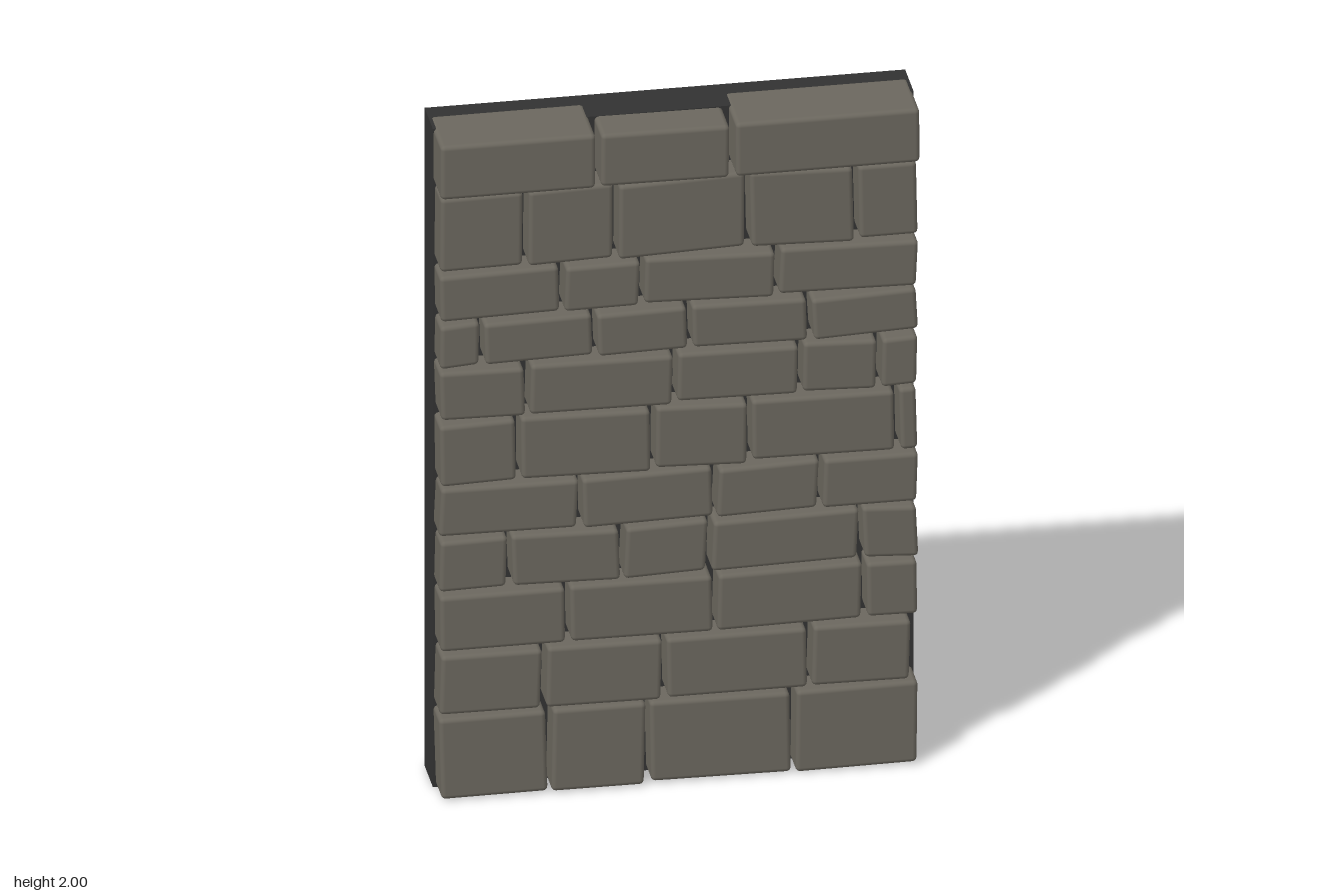
import * as THREE from 'three';
import { RoundedBoxGeometry } from 'three/addons/geometries/RoundedBoxGeometry.js';

const HALF = 0.655;

// Each course: bottom, top, and the x positions of its vertical joints
const COURSES = [
  { y: [0.005, 0.25], joints: [-0.355, -0.085, 0.315] },
  { y: [0.26, 0.44], joints: [-0.37, -0.04, 0.36], right: 0.635 },
  { y: [0.455, 0.62], joints: [-0.305, 0.1, 0.51] },
  { y: [0.635, 0.787], joints: [-0.465, -0.155, 0.085, 0.5] },
  { y: [0.8, 0.945], joints: [-0.27, 0.1, 0.39] },
  { y: [0.957, 1.14], joints: [-0.44, -0.07, 0.195, 0.6] },
  { y: [1.153, 1.3], joints: [-0.415, -0.01, 0.335, 0.55] },
  { y: [1.315, 1.442], joints: [-0.54, -0.23, 0.03, 0.36] },
  { y: [1.457, 1.592], joints: [-0.32, -0.1, 0.27] },
  { y: [1.607, 1.83], joints: [-0.42, -0.172, 0.19, 0.487] },
];

// Small seeded generator, returns values in -1..1
function seeded(seed) {
  return () => {
    seed = (seed * 16807) % 2147483647;
    return (seed / 2147483647) * 2 - 1;
  };
}

// Rounded block with its faces skewed slightly, like hand-cut masonry
function stoneGeometry(w, h, d, rand, skew) {
  const geo = new RoundedBoxGeometry(w, h, d, 2, 0.013);
  const p = geo.attributes.position;
  const k = [rand(), rand(), rand(), rand()].map((v) => v * skew);
  for (let i = 0; i < p.count; i++) {
    const u = p.getX(i) / w, v = p.getY(i) / h, t = p.getZ(i) / d + 0.5;
    p.setXYZ(
      i,
      p.getX(i) + k[0] * v,
      p.getY(i) + k[1] * u,
      p.getZ(i) + t * (k[2] * u + k[3] * v - Math.abs(k[2] + k[3]) / 2)
    );
  }
  return geo;
}

export function createModel() {
  const stoneMat = new THREE.MeshStandardMaterial({ color: 0x6b675e });
  stoneMat.name = 'stone';
  const mortarMat = new THREE.MeshStandardMaterial({ color: 0x323232 });
  mortarMat.name = 'dark mortar';
  const rand = seeded(4711);

  const wall = new THREE.Group();
  wall.name = 'stoneWall';

  function addStone(parent, name, x0, x1, y0, y1, z0, z1, skew) {
    const mesh = new THREE.Mesh(stoneGeometry(x1 - x0, y1 - y0, z1 - z0, rand, skew), stoneMat);
    mesh.position.set((x0 + x1) / 2, (y0 + y1) / 2, (z0 + z1) / 2);
    mesh.name = name;
    parent.add(mesh);
    return mesh;
  }

  // Backing slab
  const slab = new THREE.Mesh(new THREE.BoxGeometry(1.32, 1.998, 0.13), mortarMat);
  slab.position.set(0, 0.999, -0.06);
  slab.name = 'backingSlab';
  wall.add(slab);

  // Courses of stones
  COURSES.forEach(({ y, joints, right = HALF }, row) => {
    const course = new THREE.Group();
    course.name = `course${row + 1}`;
    const edges = [-HALF - 0.008, ...joints, right + 0.008];
    for (let i = 0; i < edges.length - 1; i++) {
      addStone(course, 'stone', edges[i] + 0.008, edges[i + 1] - 0.008,
        y[0], y[1], -0.04, 0.1, 0.008);
    }
    wall.add(course);
  });

  // Thicker coping stones, the outer two reaching back over the slab
  const coping = new THREE.Group();
  coping.name = 'copingCourse';
  addStone(coping, 'copingStoneRight', -0.658, -0.233, 1.838, 2, -0.073, 0.122, 0.002);
  addStone(coping, 'copingStoneMiddle', -0.217, 0.135, 1.838, 1.996, -0.073, 0.12, 0)
    .rotation.z = -0.008;
  addStone(coping, 'copingStoneLeft', 0.153, 0.658, 1.838, 2, -0.073, 0.122, 0.002);
  wall.add(coping);

  return wall;
}
